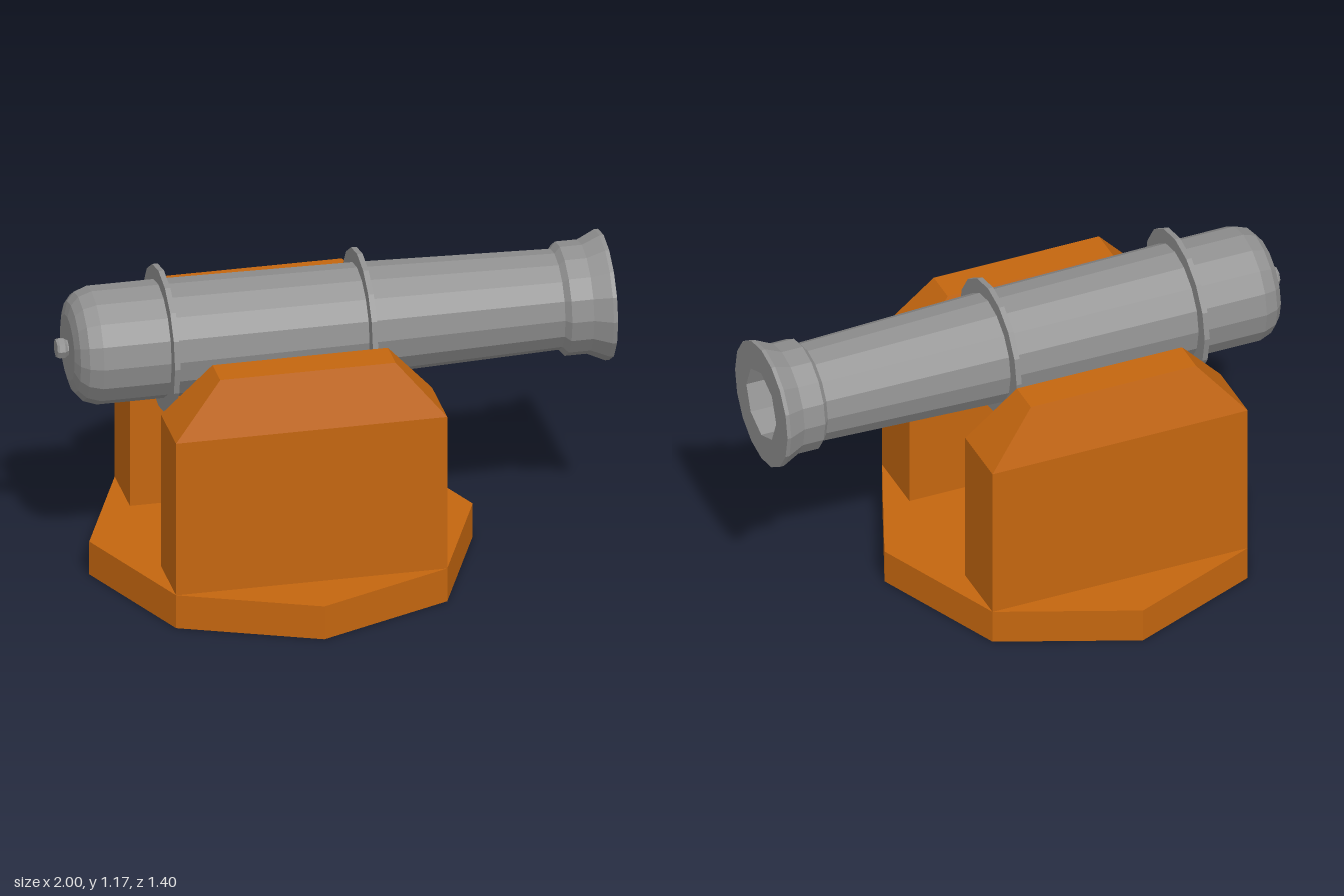
import * as THREE from 'three';

const AXIS_Y = 0.907;   // height of the barrel axis
const MOUNT_X = -0.178; // centre of the wooden mount

const wood = new THREE.MeshStandardMaterial({ color: 0xc4660f, flatShading: true });
const iron = new THREE.MeshStandardMaterial({ color: 0x909090, flatShading: true });

function addMesh(parent, name, geometry, material, x = 0, y = 0, z = 0) {
  const flat = geometry.index ? geometry.toNonIndexed() : geometry;
  flat.computeVertexNormals();
  const mesh = new THREE.Mesh(flat, material);
  mesh.name = name;
  mesh.position.set(x, y, z);
  parent.add(mesh);
  return mesh;
}

// Turned shape along x from [x, radius] pairs
function turned(profile, sides) {
  const points = profile.map(([x, r]) => new THREE.Vector2(r, x));
  return new THREE.LatheGeometry(points, sides).rotateZ(-Math.PI / 2);
}

function polygon(Type, radius, sides) {
  const points = [];
  for (let i = 0; i < sides; i++) {
    const a = (i / sides) * Math.PI * 2;
    points.push(new THREE.Vector2(Math.cos(a) * radius, Math.sin(a) * radius));
  }
  return new Type(points);
}

// Upright block whose upper row tapers in to a smaller top
function cheekGeometry() {
  const geometry = new THREE.BoxGeometry(0.99, 2, 0.245, 1, 2, 1);
  const pos = geometry.attributes.position;
  for (let i = 0; i < pos.count; i++) {
    const row = Math.round(pos.getY(i)) + 1;
    pos.setY(i, [0.13, 0.73, 0.935][row]);
    if (row === 2) {
      pos.setX(i, pos.getX(i) * 0.647);
      pos.setZ(i, pos.getZ(i) * 0.51);
    }
  }
  return geometry;
}

export function createModel() {
  const model = new THREE.Group();
  model.name = 'cannon';

  // Wooden mount: octagonal base and two cheeks
  const mount = new THREE.Group();
  mount.name = 'mount';
  mount.position.x = MOUNT_X;
  model.add(mount);
  addMesh(mount, 'base', new THREE.CylinderGeometry(0.7, 0.7, 0.13, 8), wood, 0, 0.065, 0);
  for (const side of [1, -1]) {
    addMesh(mount, side > 0 ? 'frontCheek' : 'backCheek', cheekGeometry(), wood, 0, 0, side * 0.3725);
  }

  const gun = new THREE.Group();
  gun.name = 'gun';
  gun.position.y = AXIS_Y;
  model.add(gun);

  // Barrel from the rounded breech to the flared muzzle
  addMesh(gun, 'barrel', turned([
    [-0.958, 0], [-0.958, 0.12], [-0.945, 0.165], [-0.918, 0.196], [-0.87, 0.213],
    [-0.615, 0.213], [0.11, 0.203], [0.82, 0.181], [0.84, 0.205],
    [0.92, 0.205], [0.985, 0.235], [1, 0.235],
  ], 16), iron);

  // Knob behind the breech
  addMesh(gun, 'breechKnob', turned([
    [-1, 0], [-1, 0.033], [-0.992, 0.038], [-0.972, 0.038], [-0.962, 0.03], [-0.95, 0.03],
  ], 8), iron);

  // Reinforcing rings
  for (const [x, r] of [[-0.615, 0.267], [0.11, 0.256]]) {
    const ring = new THREE.CylinderGeometry(r, r, 0.02, 16).rotateZ(-Math.PI / 2);
    addMesh(gun, 'ring', ring, iron, x);
  }

  // Muzzle face with an octagonal bore behind it
  const face = polygon(THREE.Shape, 0.235, 16);
  face.holes.push(polygon(THREE.Path, 0.134, 8));
  addMesh(gun, 'muzzleFace', new THREE.ShapeGeometry(face).rotateY(Math.PI / 2), iron, 1);
  // Profile runs from the mouth inwards, so its faces point into the bore
  addMesh(gun, 'bore', turned([[1, 0.134], [0.7, 0.134], [0.7, 0]], 8), iron);

  return model;
}
